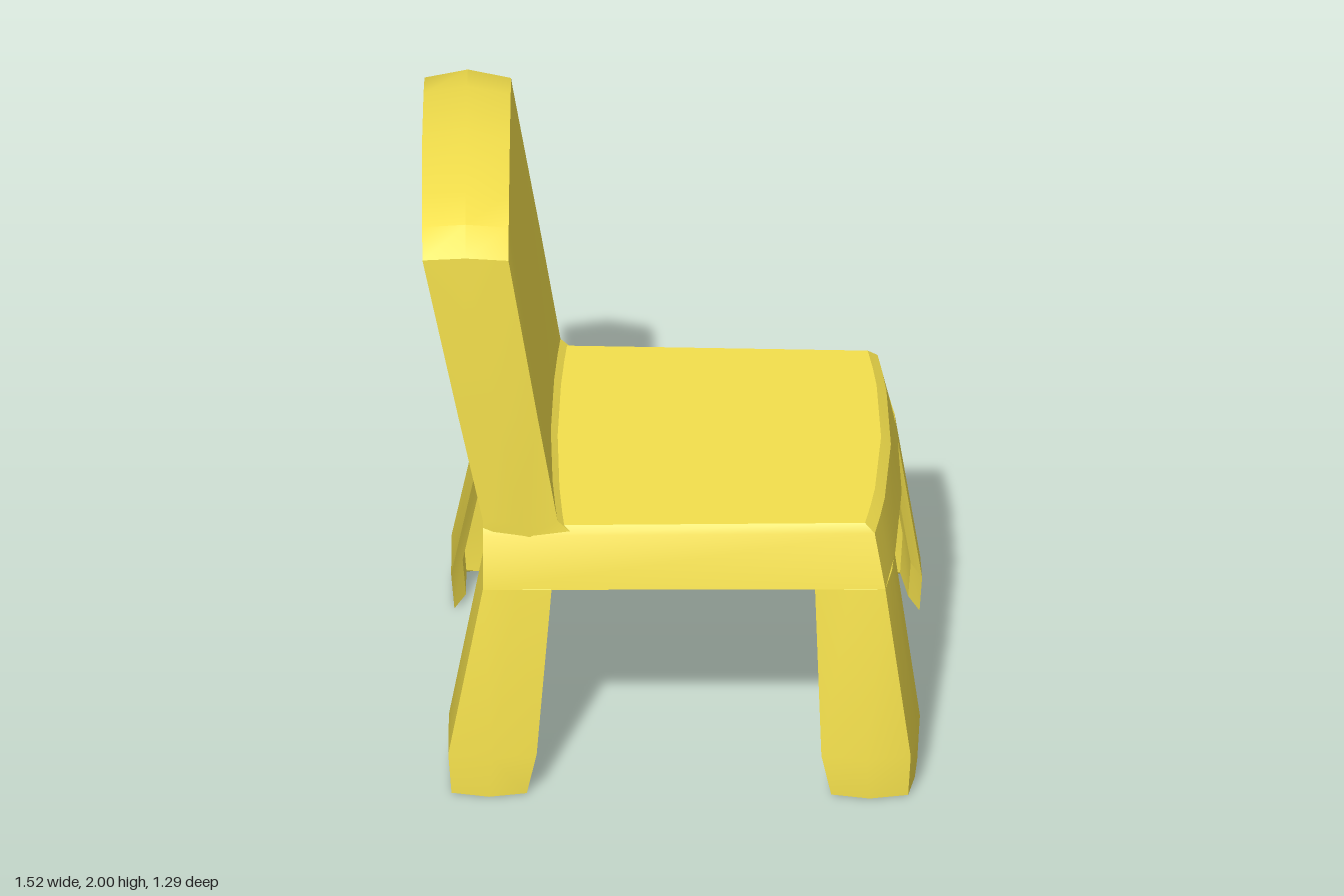
import * as THREE from 'three';
import { toCreasedNormals } from 'three/addons/utils/BufferGeometryUtils.js';

const material = new THREE.MeshStandardMaterial({ color: 0xf4e04c });
const CREASE = 0.5;
const WALL = 0.035; // thickness of the hollow skirt and legs
const LIP = 0.03; // how far the inner edges are raised by the slanted rims

function part(name, geometry) {
  const mesh = new THREE.Mesh(toCreasedNormals(geometry, CREASE), material);
  mesh.name = name;
  return mesh;
}

// Closed skin through rings of equal length; the first and last rings may be a single repeated point.
function loft(rings) {
  const tris = [];
  let volume = 0;
  const add = (a, b, c) => {
    const area = new THREE.Vector3().subVectors(b, a).cross(new THREE.Vector3().subVectors(c, a)).length();
    if (area < 1e-8) return;
    volume += a.dot(new THREE.Vector3().crossVectors(b, c));
    tris.push([a, b, c]);
  };
  const v = rings.map(r => r.map(p => new THREE.Vector3(...p)));
  const n = v[0].length;
  for (let i = 0; i < v.length - 1; i++) {
    for (let j = 0; j < n; j++) {
      const k = (j + 1) % n;
      add(v[i][j], v[i][k], v[i + 1][k]);
      add(v[i][j], v[i + 1][k], v[i + 1][j]);
    }
  }
  // Mirrored rings wind the other way, so turn the faces outwards
  const points = tris.flatMap(t => (volume < 0 ? [t[0], t[2], t[1]] : t));
  return new THREE.BufferGeometry().setFromPoints(points);
}

// Seat outline at height y: bowed front edge, straight back edge
function seatRing(y, front, halfFront, halfBack, inset = 0) {
  const ring = [1, 0.8, 0.6, 0, -0.6, -0.8, -1].map(w =>
    [front - 0.045 * w * w - inset, y, w * (halfFront - inset)]);
  for (const w of [-1, 0, 1]) ring.push([-0.575 + inset, y, w * (halfBack - inset)]);
  return ring;
}

// Seat with skirt, hollow underneath
function makeSeat() {
  const point = y => Array(10).fill([0, y, 0]);
  return part('seat', loft([
    point(0.85),
    seatRing(0.85, 0.67, 0.51, 0.535, WALL),
    seatRing(0.7 + LIP, 0.695, 0.545, 0.56, WALL),
    seatRing(0.7, 0.7, 0.55, 0.565),
    seatRing(0.873, 0.667, 0.505, 0.53),
    seatRing(0.9, 0.637, 0.487, 0.513),
    point(0.9),
  ]));
}

// Angle-section leg: [y, corner x, corner z, arm end x, arm end z, side bow] per level.
// The arm ends and the foot slant inwards to a thin wall.
function makeLeg(name, levels, bow, side) {
  const rings = levels.map(([y, cx, cz, ex, ez, sideBow]) => {
    const s = Math.sign(cx);
    const t = s * WALL;
    const inner = y + LIP;
    return [
      [ex, y, cz], [(ex + cx) / 2, y, cz + sideBow], [cx, y, cz],
      [cx + bow * 0.75, y, (ez + cz) / 2], [cx + bow, y, ez],
      [cx + bow - t, inner, ez + WALL], [cx - t, inner, cz - WALL], [ex + t, inner, cz - WALL],
    ].map(p => [p[0], p[1], p[2] * side]);
  });
  const cap = ring => ring.map(() => ring[6]);
  return part(name, loft([cap(rings[0]), ...rings, cap(rings.at(-1))]));
}

// Leaning backrest: a subdivided box bent to shape
function makeBackrest() {
  const geometry = new THREE.BoxGeometry(2, 3, 6, 2, 3, 6);
  const columns = [0, 0.56, 0.83, 1];
  const tops = [1.98, 1.955, 1.925, 1.86];
  const halves = [0.518, 0.515, 0.525, 0.51];
  const p = geometry.attributes.position;
  for (let i = 0; i < p.count; i++) {
    const u = Math.round(p.getX(i));
    const level = Math.round(p.getY(i) + 1.5);
    const k = Math.round(p.getZ(i));
    const w = Math.sign(k) * columns[Math.abs(k)];
    const middle = 1 - u * u;
    const top = tops[Math.abs(k)] + 0.02 * middle;
    const y = level === 0 ? 0.87 : THREE.MathUtils.lerp(0.92, top, [0, 0, 0.4, 1][level]);
    const lean = THREE.MathUtils.clamp((y - 0.92) / 0.94, 0, 1);
    const back = -0.575 - 0.185 * lean - 0.005 * lean * (1 - w * w);
    const hollow = 0.025 * (1 - w * w) * (1 - lean);
    const front = (level === 0 ? -0.295 : -0.347) - 0.15 * lean - hollow;
    const bulge = level === 0 ? 0.01 : 0.019;
    p.setXYZ(i, THREE.MathUtils.lerp(back, front, (u + 1) / 2), y, w * (halves[level] + bulge * middle));
  }
  return part('backrest', geometry);
}

export function createModel() {
  const chair = new THREE.Group();
  chair.name = 'chair';
  chair.add(makeSeat(), makeBackrest());

  // Splayed legs with slightly tucked feet, flush with the skirt at the top
  const front = [
    [0, 0.725, 0.622, 0.49, 0.42, 0.022],
    [0.14, 0.733, 0.622, 0.46, 0.39, 0.022],
    [0.7, 0.655, 0.55, 0.44, 0.335, 0.002],
  ];
  const rear = [
    [0, -0.67, 0.622, -0.44, 0.42, 0.022],
    [0.14, -0.68, 0.622, -0.41, 0.395, 0.022],
    [0.7, -0.575, 0.564, -0.365, 0.34, 0],
  ];
  for (const side of [1, -1]) {
    chair.add(makeLeg('frontLeg', front, 0.026, side));
    chair.add(makeLeg('rearLeg', rear, 0, side));
  }
  return chair;
}
